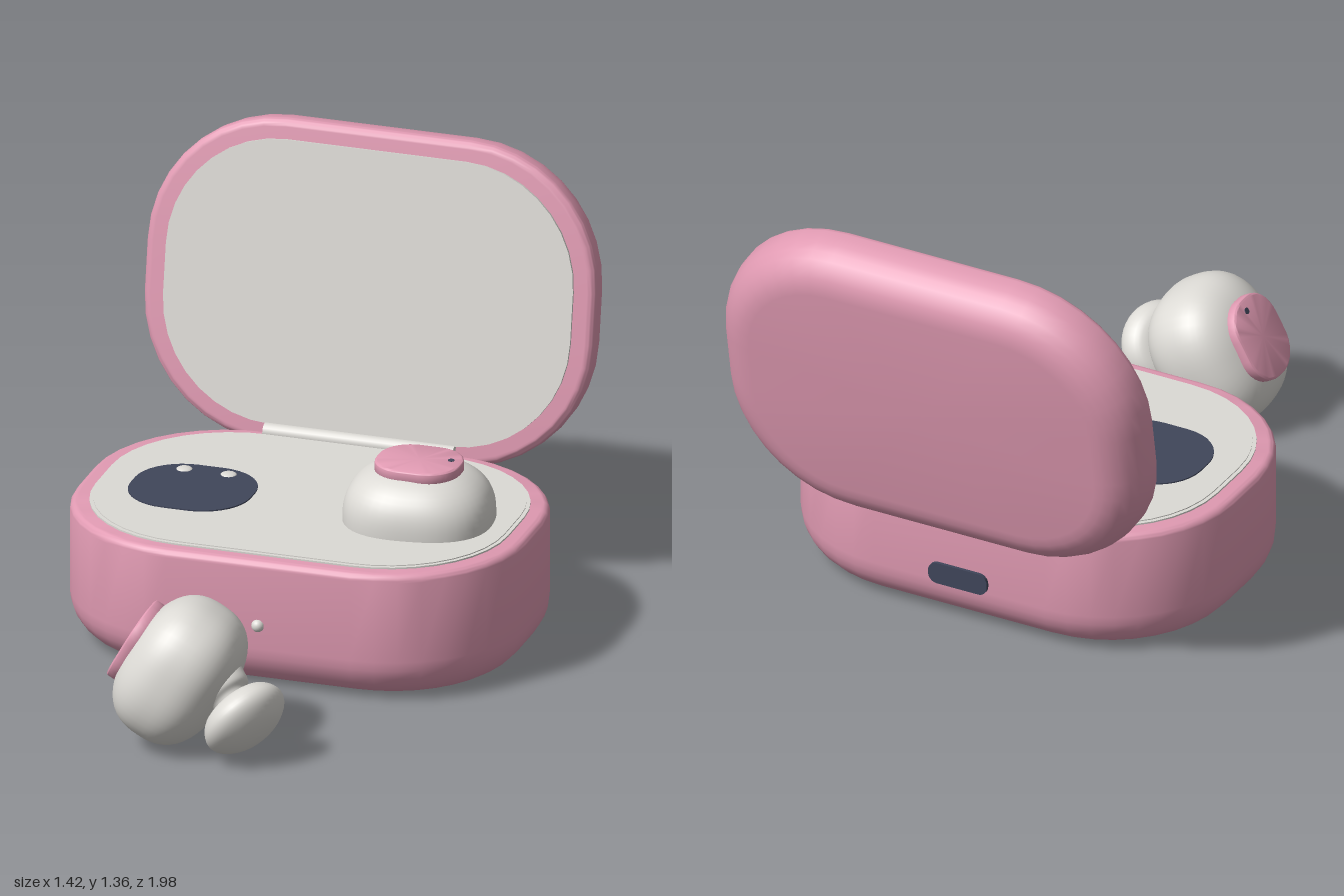
import * as THREE from 'three';
import { toCreasedNormals, mergeVertices } from 'three/addons/utils/BufferGeometryUtils.js';

const pink = new THREE.MeshStandardMaterial({ color: 0xe09ab2 });
const white = new THREE.MeshStandardMaterial({ color: 0xdcdad5 });
const navy = new THREE.MeshStandardMaterial({ color: 0x40465a });
pink.name = 'pink shell';
white.name = 'warm white';
navy.name = 'dark navy';

function add(parent, name, geometry, material, x = 0, y = 0, z = 0) {
  const mesh = new THREE.Mesh(geometry, material);
  mesh.name = name;
  mesh.position.set(x, y, z);
  parent.add(mesh);
  return mesh;
}

// Closed solid of stacked rounded rectangles; profile holds [inset, y] pairs, bottom to top
function loft(hx, hz, r, profile, seg = 9) {
  const pos = [], idx = [], n = 4 * (seg + 1);
  for (const [inset, y] of profile) {
    const rad = Math.max(r - inset, 0.002);
    for (let q = 0; q < 4; q++) {
      const sx = q === 0 || q === 3 ? 1 : -1, sz = q < 2 ? 1 : -1;
      for (let k = 0; k <= seg; k++) {
        const a = (q + k / seg) * Math.PI / 2;
        pos.push(sx * (hx - inset - rad) + rad * Math.cos(a), y, sz * (hz - inset - rad) + rad * Math.sin(a));
      }
    }
  }
  const last = profile.length - 1, bottom = n * profile.length, top = bottom + 1;
  pos.push(0, profile[0][1], 0, 0, profile[last][1], 0);
  for (let j = 0; j < n; j++) {
    const k = (j + 1) % n;
    for (let i = 0; i < last; i++) {
      const a = i * n + j, b = i * n + k;
      idx.push(a, a + n, b, b, a + n, b + n);
    }
    idx.push(bottom, j, k, top, last * n + k, last * n + j);
  }
  const g = new THREE.BufferGeometry();
  g.setAttribute('position', new THREE.Float32BufferAttribute(pos, 3));
  g.setIndex(idx);
  return toCreasedNormals(g, 0.7);
}

// Profile with a rounded lower edge (rb) and upper edge (rt)
function rounded(h, rb, rt) {
  const p = [], steps = 7;
  for (let i = 0; i <= steps; i++) {
    const a = i / steps * Math.PI / 2;
    p.push([rb * (1 - Math.sin(a)), rb * (1 - Math.cos(a))]);
  }
  for (let i = 0; i <= steps; i++) {
    const a = i / steps * Math.PI / 2;
    p.push([rt * (1 - Math.cos(a)), h - rt + rt * Math.sin(a)]);
  }
  return p;
}
const plate = (h) => [[0, 0], [0, h]];

// Sphere swollen towards a rounded box
function pebble(a, b, c, power) {
  const g = new THREE.SphereGeometry(1, 48, 32);
  g.deleteAttribute('uv');
  g.deleteAttribute('normal');
  const p = g.attributes.position, v = new THREE.Vector3();
  for (let i = 0; i < p.count; i++) {
    v.fromBufferAttribute(p, i);
    const s = [v.x, v.y, v.z].reduce((t, e) => t + Math.abs(e) ** power, 0) ** (-1 / power);
    p.setXYZ(i, v.x * s * a, v.y * s * b, v.z * s * c);
  }
  const m = mergeVertices(g, 1e-4);
  m.computeVertexNormals();
  return m;
}

// Earbud with its touch button facing local +y
function earbud(name) {
  const bud = new THREE.Group();
  bud.name = name;
  add(bud, 'earbudBody', pebble(0.228, 0.165, 0.203, 2.5), white).rotation.y = 0.12;
  add(bud, 'touchButton', loft(0.132, 0.113, 0.1, rounded(0.035, 0.004, 0.008)), pink, 0, 0.143, 0);
  add(bud, 'microphoneDot', new THREE.CylinderGeometry(0.01, 0.01, 0.004, 16), navy, 0.095, 0.178, -0.018);
  return bud;
}

export function createModel() {
  const model = new THREE.Group();
  model.name = 'wirelessEarbudsWithCase';

  // Case base
  const base = new THREE.Group();
  base.name = 'caseBase';
  base.position.z = -0.18;
  model.add(base);
  add(base, 'baseShell', loft(0.71, 0.5, 0.42, rounded(0.418, 0.135, 0.025)), pink);
  add(base, 'trayRim', loft(0.652, 0.452, 0.375, plate(0.007)), white, 0, 0.416, 0);
  add(base, 'tray', loft(0.64, 0.44, 0.363, plate(0.009)), white, 0, 0.417, 0);
  add(base, 'statusLight', new THREE.SphereGeometry(0.02, 20, 14), white, 0, 0.21, 0.497);
  add(base, 'chargingPort', loft(0.1, 0.035, 0.03, plate(0.02)), navy, 0, 0.165, -0.49).rotation.x = -Math.PI / 2;

  // Empty earbud slot with charging contacts
  add(base, 'emptySlot', loft(0.19, 0.173, 0.15, plate(0.006)), navy, -0.36, 0.424, 0.03);
  for (const x of [-0.43, -0.29]) {
    const pin = add(base, 'chargingContact', new THREE.SphereGeometry(0.025, 20, 14), white, x, 0.428, -0.1);
    pin.scale.y = 0.35;
  }

  // Hinge bar
  const hinge = add(model, 'hinge', new THREE.CylinderGeometry(0.025, 0.025, 0.6, 20), white, 0, 0.425, -0.655);
  hinge.rotation.z = Math.PI / 2;

  // Open lid, leaning back
  const lid = new THREE.Group();
  lid.name = 'lid';
  lid.position.set(0, 0.876, -0.742);
  lid.rotation.x = -10 * Math.PI / 180;
  model.add(lid);
  const shell = add(lid, 'lidShell', loft(0.71, 0.5, 0.42, rounded(0.18, 0.13, 0.025)), pink, 0, 0, -0.18);
  shell.rotation.x = Math.PI / 2;
  const panel = add(lid, 'lidPanel', loft(0.643, 0.438, 0.36, plate(0.012)), white, 0, 0, -0.003);
  panel.rotation.x = Math.PI / 2;

  // Earbud seated in the case
  const seated = earbud('seatedEarbud');
  seated.position.set(0.355, 0.435, -0.152);
  model.add(seated);

  // Loose earbud lying in front
  const loose = earbud('looseEarbud');
  loose.position.set(-0.092, 0.235, 0.78);
  loose.rotation.z = 1.058;
  model.add(loose);

  // Neck and silicone tip of the loose earbud
  const tip = new THREE.Group();
  tip.name = 'earTip';
  tip.position.set(0.14, 0.14, 0.865);
  tip.quaternion.setFromUnitVectors(new THREE.Vector3(0, 1, 0), new THREE.Vector3(0.74, -0.54, 0.4).normalize());
  model.add(tip);
  const lathe = (pts) => new THREE.LatheGeometry(
    new THREE.SplineCurve(pts.map(([r, y]) => new THREE.Vector2(r, y))).getPoints(28)
      .map((p) => new THREE.Vector2(Math.max(p.x, 0), p.y)), 40);
  add(tip, 'tipNeck', lathe([[0.1, -0.2], [0.088, -0.13], [0.08, -0.095], [0.06, -0.075], [0.05, -0.04]]), white);
  add(tip, 'siliconeTip', lathe([[0, -0.05], [0.06, -0.06], [0.11, -0.048], [0.136, -0.01],
    [0.128, 0.025], [0.09, 0.055], [0.045, 0.069], [0, 0.073]]), white);

  return model;
}
